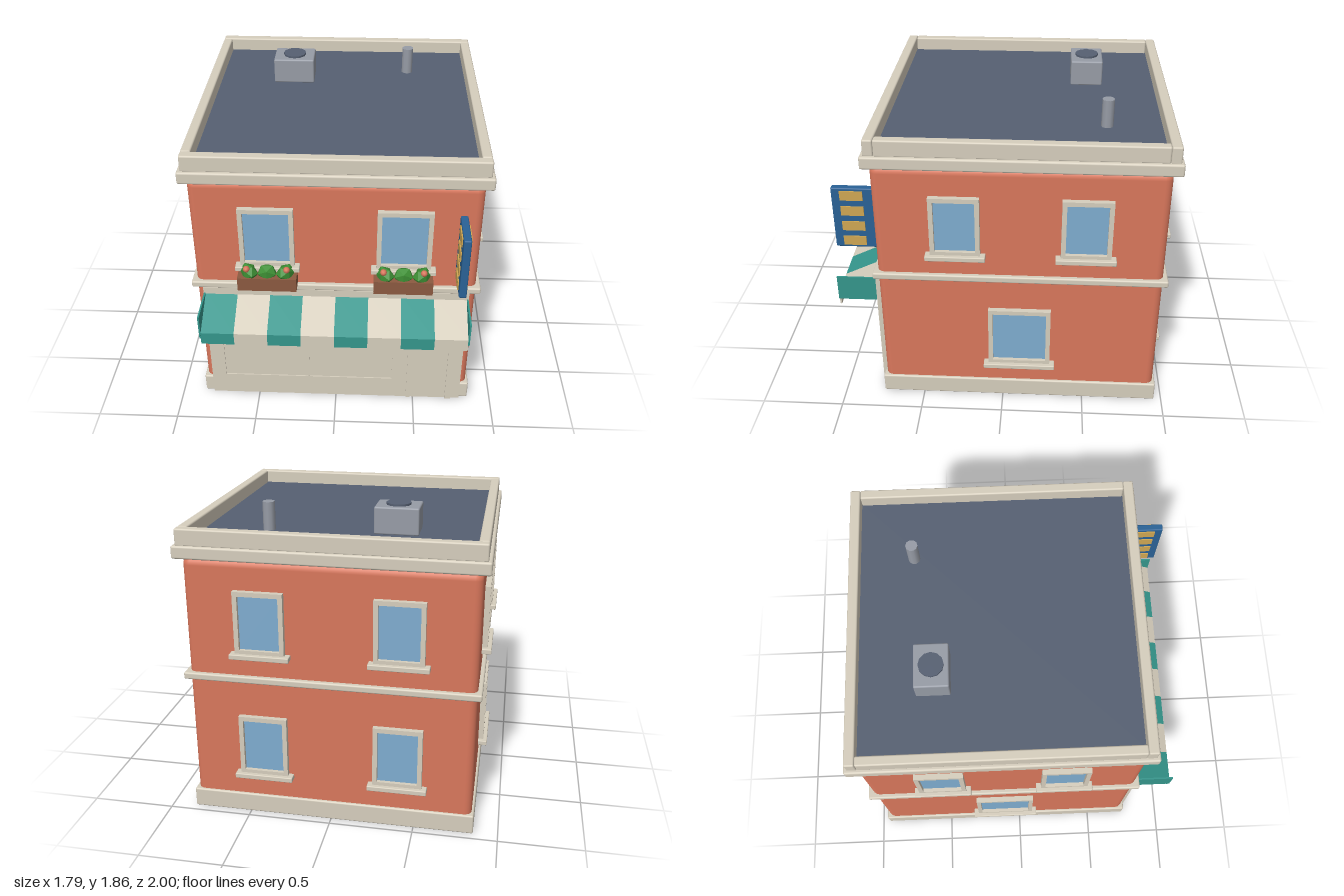
import * as THREE from 'three';
import { RoundedBoxGeometry } from 'three/addons/geometries/RoundedBoxGeometry.js';

const material = (name, color, extra = {}) => {
  const m = new THREE.MeshStandardMaterial({ color, ...extra });
  m.name = name;
  return m;
};

export function createModel() {
  const brick = material('brick', 0xd9775c);
  const stone = material('stone', 0xd6cebd);
  const teal = material('teal', 0x35968c);
  const glass = material('glass', 0x7fadd0);
  const slate = material('slate', 0x566072);
  const metal = material('metal', 0x979ca6);
  const blue = material('blue', 0x2a6296);
  const gold = material('gold', 0xd0a753);
  const wood = material('wood', 0x8c5a40);
  const leaf = material('leaf', 0x3d8f34, { flatShading: true });

  const model = new THREE.Group();
  model.name = 'cornerShop';

  const add = (parent, name, geometry, mat) => {
    const mesh = new THREE.Mesh(geometry, mat);
    mesh.name = name;
    parent.add(mesh);
    return mesh;
  };
  // Box given by its extents; r > 0 rounds the edges
  const box = (parent, name, mat, [x0, x1], [y0, y1], [z0, z1], r = 0) => {
    const size = [x1 - x0, y1 - y0, z1 - z0];
    const g = r ? new RoundedBoxGeometry(...size, 3, r) : new THREE.BoxGeometry(...size);
    const mesh = add(parent, name, g, mat);
    mesh.position.set((x0 + x1) / 2, (y0 + y1) / 2, (z0 + z1) / 2);
    return mesh;
  };
  const rectFrame = (w, h, t, depth) => {
    const s = new THREE.Shape();
    s.moveTo(-w / 2, 0).lineTo(w / 2, 0).lineTo(w / 2, h).lineTo(-w / 2, h).closePath();
    const a = w / 2 - t;
    s.holes.push(new THREE.Path().moveTo(-a, t).lineTo(-a, h - t).lineTo(a, h - t).lineTo(a, t).closePath());
    return new THREE.ExtrudeGeometry(s, { depth, bevelEnabled: false });
  };

  // Walls and horizontal stone bands
  box(model, 'walls', brick, [-0.84, 0.84], [0.004, 1.605], [-0.94, 0.74], 0.045);
  box(model, 'plinth', stone, [-0.855, 0.855], [0, 0.12], [-0.955, 0.755], 0.01);
  box(model, 'beltCourse', stone, [-0.866, 0.866], [0.868, 0.91], [-0.967, 0.766], 0.01);
  box(model, 'cornice', stone, [-0.88, 0.88], [1.605, 1.68], [-0.985, 0.78], 0.012);
  box(model, 'roofDeck', slate, [-0.82, 0.82], [1.66, 1.692], [-0.92, 0.72]);

  // Parapet around the roof
  const parapet = new THREE.Group();
  parapet.name = 'parapet';
  model.add(parapet);
  box(parapet, 'parapetFront', stone, [-0.86, 0.86], [1.675, 1.775], [0.7, 0.76], 0.01);
  box(parapet, 'parapetBack', stone, [-0.86, 0.86], [1.675, 1.775], [-0.968, -0.908], 0.01);
  for (const s of [-1, 1]) {
    const m = box(parapet, 'parapetSide', stone, [0.802, 0.86], [1.675, 1.775], [-0.908, 0.7], 0.01);
    m.position.x *= s;
  }

  // Rooftop equipment
  box(model, 'airUnit', metal, [-0.45, -0.19], [1.69, 1.85], [-0.58, -0.38], 0.01);
  add(model, 'airUnitFan', new THREE.CylinderGeometry(0.073, 0.073, 0.02, 12), slate).position.set(-0.32, 1.852, -0.48);
  add(model, 'ventPipe', new THREE.CylinderGeometry(0.036, 0.036, 0.17, 10), metal).position.set(0.423, 1.775, -0.587);

  // Windows: frame, pane and sill facing local +z, frame foot at local y = 0
  const addWindow = (x, y, z, turn, w, h) => {
    const win = new THREE.Group();
    win.name = 'window';
    add(win, 'windowFrame', rectFrame(w, h, 0.027, 0.04), stone).position.z = -0.008;
    box(win, 'windowPane', glass, [-w / 2 + 0.02, w / 2 - 0.02], [0.02, h - 0.02], [0.002, 0.01]);
    box(win, 'windowSill', stone, [-w / 2 - 0.03, w / 2 + 0.03], [-0.025, 0.006], [-0.01, 0.056], 0.005);
    win.position.set(x, y, z);
    win.rotation.y = turn;
    model.add(win);
  };
  for (const s of [-1, 1]) {
    addWindow(s * 0.4, 1.045, 0.74, 0, 0.32, 0.395);
    for (const y of [0.275, 1.052]) addWindow(s * 0.4, y, -0.94, Math.PI, 0.29, 0.378);
    for (const z of [0.272, -0.482]) addWindow(s * 0.84, 1.052, z, s * Math.PI / 2, 0.29, 0.378);
    addWindow(s * 0.84, 0.268, -0.102, s * Math.PI / 2, 0.375, 0.4);
  }

  // Flower boxes under the front windows
  for (const s of [-1, 1]) {
    const planter = new THREE.Group();
    planter.name = 'flowerBox';
    planter.position.x = s * 0.4;
    model.add(planter);
    box(planter, 'planter', wood, [-0.174, 0.174], [0.92, 1.008], [0.745, 0.848]);
    for (let i = -1; i <= 1; i++) {
      const bush = add(planter, 'bush', new THREE.IcosahedronGeometry(0.062, 0), leaf);
      bush.position.set(i * 0.108, 1.025, 0.8);
      bush.rotation.y = i * 0.7;
      bush.scale.set(1, 0.9, 0.75);
      if (i) add(planter, 'flower', new THREE.IcosahedronGeometry(0.02, 1), brick).position.set(i * 0.118, 1.065, 0.828);
    }
  }

  // Shop front with shallow display and door mouldings
  const shop = new THREE.Group();
  shop.name = 'shopFront';
  model.add(shop);
  box(shop, 'shopPanel', stone, [-0.8, 0.8], [0, 0.87], [0.7, 0.766]);
  const display = add(shop, 'displayFrame', rectFrame(1.12, 0.6, 0.027, 0.008), stone);
  display.position.set(-0.175, 0.135, 0.765);
  box(shop, 'displayMullion', stone, [-0.181, -0.169], [0.16, 0.71], [0.765, 0.771]);
  const doorHeight = 0.63;
  for (const [x0, x1] of [[0.455, 0.482], [0.708, 0.745]])
    box(shop, 'doorJamb', stone, [x0, x1], [0, doorHeight], [0.765, 0.775]);
  box(shop, 'doorHead', stone, [0.482, 0.708], [0.598, doorHeight], [0.765, 0.775]);

  // Striped awning: sloping canopy, hanging valance and end panels
  const awning = new THREE.Group();
  awning.name = 'awning';
  model.add(awning);
  const stripe = 1.58 / 8;
  const profile = new THREE.Shape();
  profile.moveTo(0.75, 0.83).lineTo(0.998, 0.71).lineTo(0.998, 0.628).lineTo(0.988, 0.628)
    .lineTo(0.988, 0.704).lineTo(0.75, 0.818).closePath();
  for (let i = 0; i < 8; i++) {
    const g = new THREE.ExtrudeGeometry(profile, { depth: stripe, bevelEnabled: false });
    const strip = add(awning, 'awningStripe', g, i % 2 ? stone : teal);
    strip.rotation.y = -Math.PI / 2;
    g.scale(1, 1, -1);
    // Mirroring reverses the faces, so swap two corners of each triangle
    for (const a of [g.attributes.position, g.attributes.normal]) {
      for (let k = 0; k < a.count; k += 3) {
        const p = [a.getX(k), a.getY(k), a.getZ(k)];
        a.setXYZ(k, a.getX(k + 1), a.getY(k + 1), a.getZ(k + 1));
        a.setXYZ(k + 1, ...p);
      }
    }
    strip.rotation.y = -Math.PI / 2;
    strip.scale.set(1, 1, 1);
    strip.position.x = -0.79 + i * stripe;
  }
  for (const x of [-0.793, 0.793])
    box(awning, 'awningEnd', teal, [x - 0.005, x + 0.005], [0.67, 0.83], [0.75, 1.0]);

  // Projecting sign with plain gold panels on both faces
  box(model, 'signBoard', blue, [0.708, 0.752], [1.02, 1.415], [0.738, 0.99], 0.008);
  for (let i = 0; i < 4; i++) {
    const y = 1.068 + i * 0.1;
    box(model, 'signPanel', gold, [0.701, 0.759], [y - 0.03, y + 0.03], [0.806, 0.94]);
  }
  return model;
}
